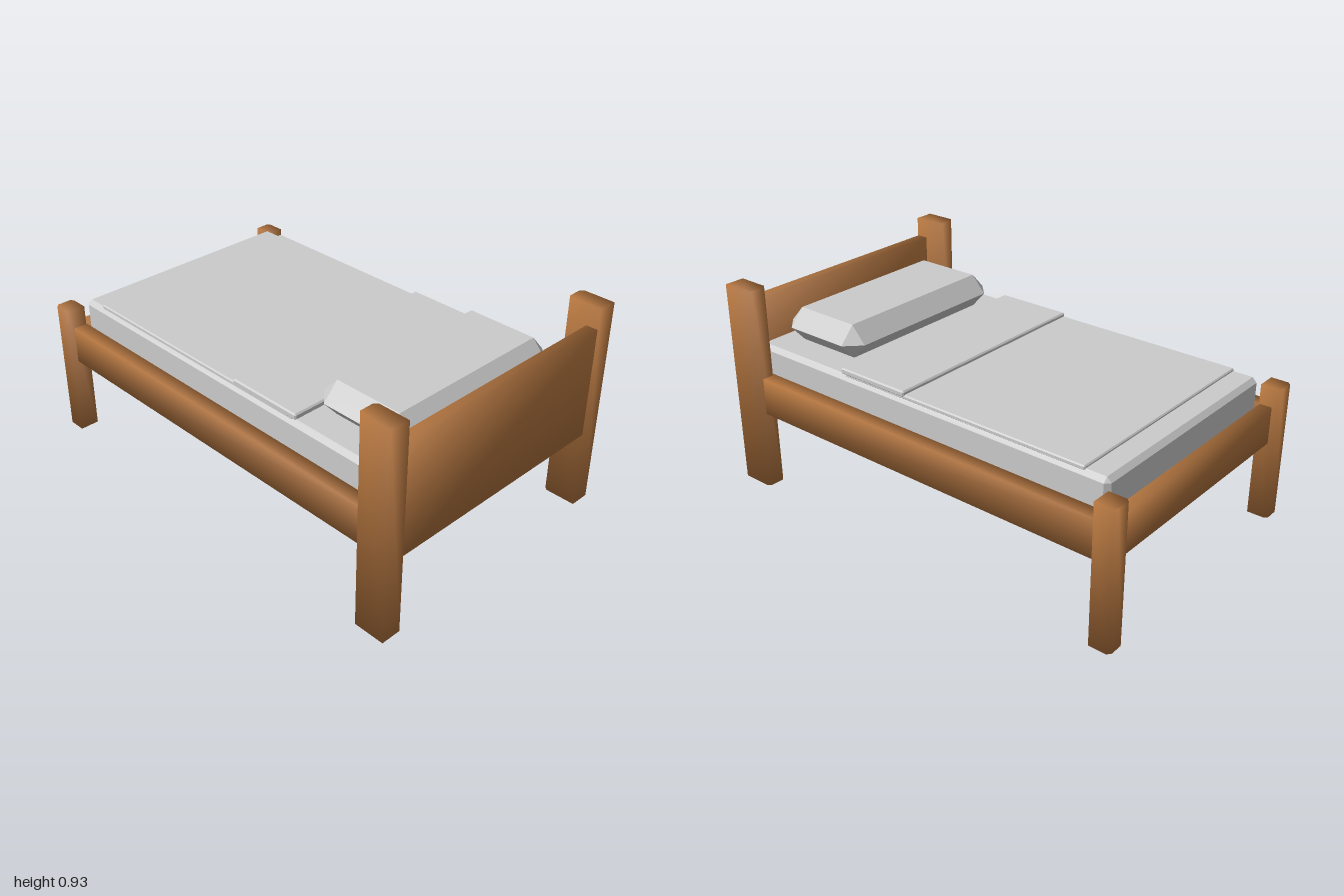
import * as THREE from 'three';
import { ConvexGeometry } from 'three/addons/geometries/ConvexGeometry.js';

const wood = new THREE.MeshStandardMaterial({ color: 0xb5763f });
const fabric = new THREE.MeshStandardMaterial({ color: 0xcccccc });
const SIGNS = [-1, 1];

function addMesh(group, name, geometry, material, center = [0, 0, 0]) {
  const mesh = new THREE.Mesh(geometry, material);
  mesh.name = name;
  mesh.position.set(...center);
  group.add(mesh);
}

const middle = (a, b) => a.map((v, i) => (v + b[i]) / 2);

// Point every normal out through its corner, for soft shading across the timber
function softenNormals(geometry) {
  const pos = geometry.attributes.position;
  const n = new THREE.Vector3();
  for (let i = 0; i < pos.count; i++) {
    n.set(Math.sign(pos.getX(i)), Math.sign(pos.getY(i)), Math.sign(pos.getZ(i))).normalize();
    geometry.attributes.normal.setXYZ(i, n.x, n.y, n.z);
  }
  return geometry;
}

// Timber beam between two opposite corners
function beam(group, name, a, b) {
  const geometry = new THREE.BoxGeometry(b[0] - a[0], b[1] - a[1], b[2] - a[2]);
  addMesh(group, name, softenNormals(geometry), wood, middle(a, b));
}

// Upright post whose rear vertical edges are chamfered
function post(group, name, a, b) {
  const w = (b[0] - a[0]) / 2, h = b[1] - a[1], d = (b[2] - a[2]) / 2, c = 0.014;
  // Shape y becomes -z after the rotation
  const outline = [[-w, -d], [w, -d], [w, d - c], [w - c, d], [c - w, d], [-w, d - c]];
  const shape = new THREE.Shape(outline.map(([x, y]) => new THREE.Vector2(x, y)));
  const geometry = new THREE.ExtrudeGeometry(shape, { depth: h, bevelEnabled: false });
  geometry.rotateX(-Math.PI / 2).translate(0, -h / 2, 0);
  addMesh(group, name, softenNormals(geometry), wood, middle(a, b));
}

// Fabric block with all edges chamfered by c
function chamferBox(group, name, a, b, c) {
  const half = a.map((v, i) => (b[i] - v) / 2);
  const points = [];
  for (const sx of SIGNS) for (const sy of SIGNS) for (const sz of SIGNS) {
    for (let axis = 0; axis < 3; axis++) {
      const p = [sx, sy, sz].map((s, i) => s * (half[i] - (i === axis ? 0 : c)));
      points.push(new THREE.Vector3(...p));
    }
  }
  addMesh(group, name, new ConvexGeometry(points), fabric, middle(a, b));
}

export function createModel() {
  const bed = new THREE.Group();
  bed.name = 'bed';

  // Posts and side rails, mirrored
  for (const s of SIGNS) {
    const side = s > 0 ? 'left' : 'right';
    const span = (inner, outer) => (s > 0 ? [inner, outer] : [-outer, -inner]);
    const [h0, h1] = span(0.54, 0.63);
    post(bed, side + 'HeadPost', [h0, 0, 0.848], [h1, 0.928, 1]);
    const [f0, f1] = span(0.543, 0.63);
    post(bed, side + 'FootPost', [f0, 0, -1], [f1, 0.61, -0.907]);
    const [r0, r1] = span(0.54, 0.605);
    beam(bed, side + 'SideRail', [r0, 0.355, -0.91], [r1, 0.522, 0.86]);
  }

  // Headboard, foot rail and base panel
  beam(bed, 'headboard', [-0.547, 0.352, 0.945], [0.547, 0.84, 0.997]);
  beam(bed, 'footRail', [-0.55, 0.355, -0.965], [0.55, 0.522, -0.91]);
  addMesh(bed, 'basePanel', new THREE.BoxGeometry(1.1, 0.03, 1.88), wood, [0, 0.455, 0.02]);

  // Mattress and bedding
  chamferBox(bed, 'mattress', [-0.535, 0.465, -0.9], [0.535, 0.645, 0.94], 0.02);
  chamferBox(bed, 'blanket', [-0.523, 0.635, -0.79], [0.523, 0.656, 0.415], 0.005);
  chamferBox(bed, 'blanketFold', [-0.527, 0.645, 0.083], [0.527, 0.672, 0.437], 0.006);

  // Pillow: small top and bottom rectangles around a wide eight-cornered middle
  const points = [];
  const w = 0.45, d = 0.2225, c = 0.068;
  for (const sx of SIGNS) for (const sz of SIGNS) {
    for (const sy of SIGNS) points.push(new THREE.Vector3(sx * (w - c), sy * 0.075, sz * (d - c)));
    points.push(new THREE.Vector3(sx * w, 0, sz * (d - c)));
    points.push(new THREE.Vector3(sx * (w - c), 0, sz * d));
  }
  addMesh(bed, 'pillow', new ConvexGeometry(points), fabric, [0, 0.72, 0.6625]);

  return bed;
}
